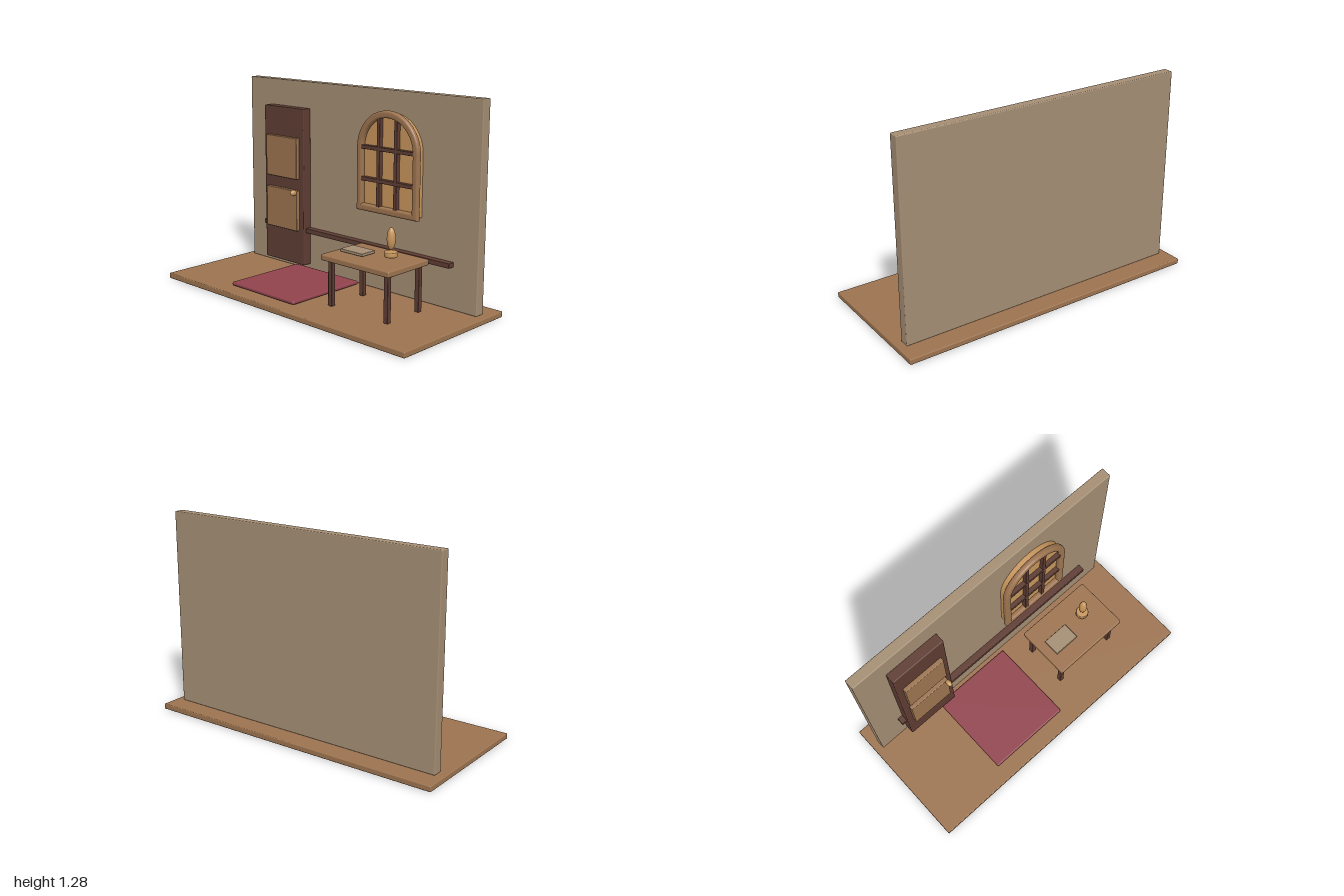
import * as THREE from 'three';
import { RoundedBoxGeometry } from 'three/addons/geometries/RoundedBoxGeometry.js';

const mat = (name, color) => {
  const m = new THREE.MeshStandardMaterial({ color });
  m.name = name;
  return m;
};

export function createModel() {
  const model = new THREE.Group();
  model.name = 'roomCorner';
  const wood = mat('wood', 0x9d7450);
  const plaster = mat('plaster', 0xa58e74);
  const darkWood = mat('darkWood', 0x5f3d33);
  const red = mat('rugRed', 0x91434d);
  const brass = mat('brass', 0xc8965c);

  const add = (name, geometry, material, parent = model) => {
    const mesh = new THREE.Mesh(geometry, material);
    mesh.name = name;
    parent.add(mesh);
    return mesh;
  };
  const group = (name) => {
    const g = new THREE.Group();
    g.name = name;
    model.add(g);
    return g;
  };
  // Softly rounded box given by its extents on each axis
  const box = (name, material, [x0, x1], [y0, y1], [z0, z1], parent, r = 0.006) => {
    const mesh = add(name, new RoundedBoxGeometry(x1 - x0, y1 - y0, z1 - z0, 2, r), material, parent);
    mesh.position.set((x0 + x1) / 2, (y0 + y1) / 2, (z0 + z1) / 2);
    return mesh;
  };
  const ellipsoid = (name, material, pos, radii, parent) => {
    const mesh = add(name, new THREE.SphereGeometry(1, 32, 20), material, parent);
    mesh.position.set(...pos);
    mesh.scale.set(...radii);
    return mesh;
  };

  // Floor, wall, rail and rug
  box('floor', wood, [-0.445, 0.445], [0, 0.035], [-1, 1]);
  box('wall', plaster, [0.255, 0.32], [0.035, 1.28], [-0.95, 0.95]);
  box('wallRail', darkWood, [0.21, 0.257], [0.295, 0.325], [-0.785, 0.78], model, 0.003);
  box('rug', red, [-0.342, 0.225], [0.04, 0.064], [-0.487, 0.067], model, 0.01);

  // Door with two raised panels and a knob
  const door = group('door');
  box('doorLeaf', darkWood, [0.192, 0.257], [0.075, 1.11], [-0.75, -0.385], door);
  for (const y of [0.305, 0.65])
    box('doorPanel', wood, [0.165, 0.194], [y, y + 0.27], [-0.71, -0.425], door, 0.005);
  ellipsoid('doorKnob', brass, [0.146, 0.565, -0.435], [0.025, 0.02, 0.016], door);

  // Arched window; outlines are drawn in (z, y) and extruded along x
  const win = group('window');
  const midZ = 0.317, springY = 0.925;
  const arch = (Kind, r, bottom) => {
    const s = new Kind();
    s.moveTo(-r, bottom);
    s.lineTo(r, bottom);
    s.lineTo(r, springY);
    s.absarc(0, springY, r, 0, Math.PI, false);
    s.closePath();
    return s;
  };
  const archPart = (name, material, shape, x0, x1, bevel) => {
    const geometry = new THREE.ExtrudeGeometry(shape, {
      depth: x1 - x0 - 2 * bevel, curveSegments: 32, bevelEnabled: bevel > 0,
      bevelThickness: bevel, bevelSize: bevel, bevelOffset: -bevel, bevelSegments: 4,
    });
    const mesh = add(name, geometry, material, win);
    mesh.rotation.y = -Math.PI / 2;
    mesh.position.set(x1 - bevel, 0, midZ);
  };
  archPart('windowPane', brass, arch(THREE.Shape, 0.224, 0.55), 0.218, 0.257, 0.004);
  const frame = arch(THREE.Shape, 0.239, 0.535);
  frame.holes.push(arch(THREE.Path, 0.195, 0.58));
  archPart('windowFrame', wood, frame, 0.186, 0.224, 0.014);
  for (const side of [-1, 1]) {
    const z = midZ + side * 0.067;
    box('verticalMullion', darkWood, [0.19, 0.22], [0.57, 1.115], [z - 0.012, z + 0.012], win, 0.003);
  }
  for (const y of [0.735, 0.93])
    box('horizontalMullion', darkWood, [0.189, 0.22], [y - 0.012, y + 0.012], [midZ - 0.207, midZ + 0.207], win, 0.003);

  // Table
  const table = group('table');
  box('tableTop', wood, [-0.222, 0.137], [0.315, 0.351], [0.173, 0.695], table, 0.008);
  for (const x of [-0.175, 0.098])
    for (const z of [0.22, 0.65])
      box('tableLeg', darkWood, [x - 0.015, x + 0.015], [0.035, 0.32], [z - 0.015, z + 0.015], table, 0.003);

  // Book and lamp on the table
  box('book', plaster, [-0.115, -0.002], [0.358, 0.375], [0.23, 0.405], model, 0.003);
  const lamp = group('lamp');
  const profile = [[0, 0.367], [0.036, 0.367], [0.04, 0.371], [0.04, 0.394], [0.036, 0.398], [0, 0.398]];
  const base = add('lampBase', new THREE.LatheGeometry(profile.map(([r, y]) => new THREE.Vector2(r, y)), 40), brass, lamp);
  base.position.set(-0.019, 0, 0.54);
  ellipsoid('lampFlame', brass, [-0.019, 0.474, 0.54], [0.026, 0.066, 0.026], lamp);

  return model;
}
